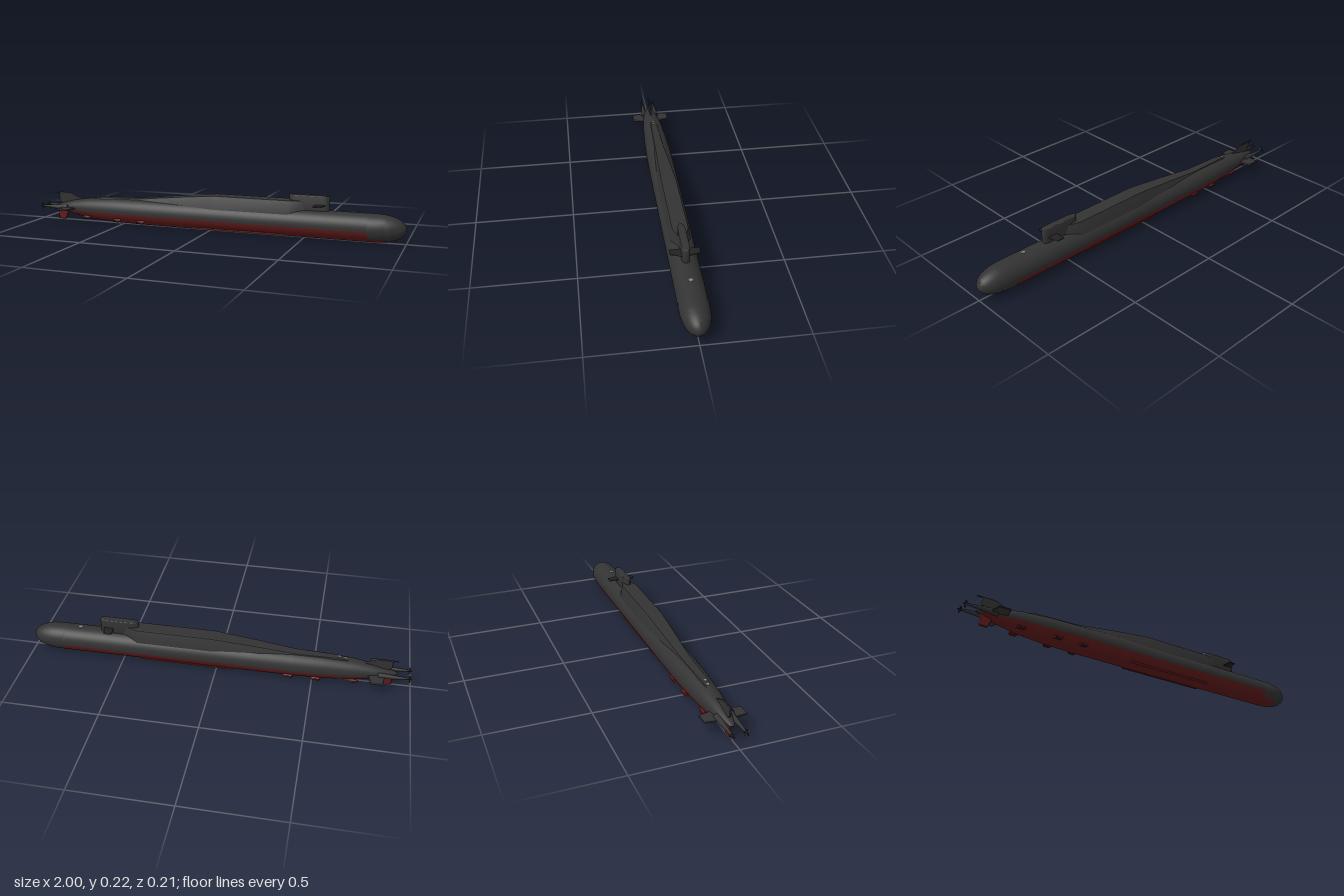
import * as THREE from 'three';
import { toCreasedNormals } from 'three/addons/utils/BufferGeometryUtils.js';

const mat = (name, color) => {
  const m = new THREE.MeshStandardMaterial({ color });
  m.name = name;
  return m;
};

export function createModel() {
  const model = new THREE.Group();
  model.name = 'submarine';
  const black = mat('hull charcoal', 0x333333);
  const red = mat('bottom red', 0x621b1b);
  const dark = mat('fitting black', 0x222222);
  const grey = mat('hatch grey', 0x858585);

  const add = (name, geo, material, x = 0, y = 0, z = 0, parent = model) => {
    const mesh = new THREE.Mesh(geo, material);
    mesh.name = name;
    mesh.position.set(x, y, z);
    parent.add(mesh);
    return mesh;
  };

  // Skin through a list of cross-sections with equal point counts
  const loft = (sections) => {
    const n = sections[0].length;
    const index = [];
    for (let i = 0; i < sections.length - 1; i++) {
      for (let j = 0; j < n - 1; j++) {
        const a = i * n + j, b = a + n;
        index.push(a, b, b + 1, a, b + 1, a + 1);
      }
    }
    const geo = new THREE.BufferGeometry();
    geo.setAttribute('position', new THREE.Float32BufferAttribute(sections.flat(2), 3));
    geo.setIndex(index);
    geo.computeVertexNormals();
    return geo;
  };

  // Plate from an outline: upright, or lying flat with its outline in x and z
  const plate = (points, thickness, flat = false) => {
    const shape = new THREE.Shape(points.map(([x, y]) => new THREE.Vector2(x, y)));
    const bevel = thickness * 0.3;
    const geo = new THREE.ExtrudeGeometry(shape, {
      depth: thickness - 2 * bevel, bevelThickness: bevel, bevelSize: bevel,
      bevelOffset: -bevel, bevelSegments: 1,
    });
    geo.translate(0, 0, bevel - thickness / 2);
    if (flat) geo.rotateX(-Math.PI / 2);
    return geo;
  };

  // Hull stations: x, bottom, top, half width
  const stations = [
    [-0.925, 0.074, 0.076, 0.001], [-0.92, 0.068, 0.083, 0.012], [-0.86, 0.051, 0.1, 0.032],
    [-0.8, 0.036, 0.115, 0.043], [-0.7, 0.019, 0.131, 0.055], [-0.55, 0.008, 0.141, 0.064],
    [-0.4, 0.005, 0.144, 0.069], [-0.2, 0.004, 0.145, 0.07], [0.2, 0.004, 0.145, 0.07],
    [0.6, 0.004, 0.145, 0.07], [0.815, 0.004, 0.145, 0.07], [0.825, 0.004, 0.145, 0.07],
  ];
  for (const t of [0.2, 0.38, 0.42, 0.55, 0.68, 0.79, 0.87, 0.93, 0.97, 0.99, 1]) {
    const k = Math.sqrt(Math.max(0, 1 - Math.pow(t, 2.4)));
    stations.push([0.84 + 0.16 * t, 0.0745 - 0.0705 * k, 0.0745 + 0.0705 * k, 0.07 * k]);
  }
  // The paint line steps down near the bow
  const paintLine = (x) => (x < 0.82 ? 0.062 : x < 0.905 ? 0.028 : -1);
  const arcs = (upper) => stations.map(([x, lo, hi, w]) => {
    const cy = (lo + hi) / 2, ry = Math.max((hi - lo) / 2, 1e-6);
    const a = Math.asin(THREE.MathUtils.clamp((paintLine(x) - cy) / ry, -1, 1));
    const start = upper ? a : Math.PI - a;
    const end = upper ? Math.PI - a : 2 * Math.PI + a;
    return Array.from({ length: 33 }, (_, j) => {
      const t = start + ((end - start) * j) / 32;
      return [x, cy + ry * Math.sin(t), w * Math.cos(t)];
    });
  });
  add('upperHull', loft(arcs(true)), black);
  const redArcs = arcs(false).filter((_, i) => stations[i][0] < 0.915);
  add('lowerHull', loft(redArcs), red);

  // Raised casing behind the sail: x, top, half width at top and at base
  const casing = [
    [-0.8, 0.112, 0.008, 0.014], [-0.62, 0.143, 0.018, 0.026], [-0.4, 0.147, 0.024, 0.036],
    [-0.2, 0.169, 0.032, 0.046], [0.02, 0.19, 0.04, 0.055], [0.42, 0.19, 0.04, 0.055],
    [0.5, 0.187, 0.013, 0.024], [0.505, 0.15, 0.002, 0.004],
  ].map(([x, top, ht, hb]) => {
    const base = Math.min(0.11, top - 0.02), r = Math.min(0.006, ht * 0.3);
    const half = [[base, hb], [top - r, ht], [top - r * 0.3, ht - r * 0.3], [top, ht - r]];
    return [...half.map(([y, z]) => [x, y, z]), ...half.reverse().map(([y, z]) => [x, y, -z])];
  });
  add('missileCasing', toCreasedNormals(loft(casing), 0.4), black);

  // Sail with rounded ends
  const sailShape = new THREE.Shape();
  sailShape.moveTo(0.422, 0);
  sailShape.quadraticCurveTo(0.425, 0.015, 0.48, 0.015);
  sailShape.lineTo(0.59, 0.015);
  sailShape.quadraticCurveTo(0.62, 0.015, 0.62, 0);
  sailShape.quadraticCurveTo(0.62, -0.015, 0.59, -0.015);
  sailShape.lineTo(0.48, -0.015);
  sailShape.quadraticCurveTo(0.425, -0.015, 0.422, 0);
  const sail = new THREE.ExtrudeGeometry(sailShape, {
    depth: 0.091, bevelThickness: 0.004, bevelSize: 0.004, bevelSegments: 3, curveSegments: 10,
  });
  sail.rotateX(-Math.PI / 2);
  add('sail', toCreasedNormals(sail, 0.6), black, 0, 0.124, 0);
  add('sailPlanes', plate([[0.55, -0.072], [0.59, -0.072], [0.605, -0.015], [0.605, 0.015],
    [0.59, 0.072], [0.55, 0.072]], 0.005, true), dark, 0, 0.171, 0);

  // Tail surfaces
  add('upperRudder', plate([[-0.9, 0.152], [-0.9, 0.11], [-0.87, 0.08], [-0.75, 0.1],
    [-0.755, 0.12], [-0.825, 0.152]], 0.009), black);
  add('rudderTopPod', new THREE.CylinderGeometry(0.003, 0.004, 0.09, 10).rotateZ(Math.PI / 2),
    dark, -0.88, 0.151, 0);
  add('lowerRudder', plate([[-0.905, 0.004], [-0.862, 0.003], [-0.836, 0.064], [-0.905, 0.064]],
    0.009), red);
  add('sternPlanes', plate([[-0.857, -0.104], [-0.795, -0.104], [-0.78, -0.04], [-0.78, 0.04],
    [-0.795, 0.104], [-0.857, 0.104], [-0.865, 0.04], [-0.865, -0.04]], 0.008, true),
  black, 0, 0.073, 0);

  // Matching fittings on both sides
  for (const side of [1, -1]) {
    const z = side * 0.033;
    const shaft = new THREE.CylinderGeometry(0.017, 0.005, 0.15, 16).rotateZ(-Math.PI / 2);
    add('shaftCone', shaft, black, -0.905, 0.075, z);

    const propeller = new THREE.Group();
    propeller.name = 'propeller';
    propeller.position.set(-0.989, 0.075, z);
    model.add(propeller);
    add('hub', new THREE.CylinderGeometry(0.0055, 0.003, 0.022, 12).rotateZ(-Math.PI / 2),
      dark, 0, 0, 0, propeller);
    for (let i = 0; i < 5; i++) {
      const blade = plate([[-0.002, 0.003], [0.002, 0.003], [0.005, 0.013], [0.003, 0.019],
        [-0.003, 0.019], [-0.005, 0.013]], 0.0015);
      blade.rotateY(side * 0.7);
      blade.rotateX((i * Math.PI * 2) / 5);
      add('blade', blade, dark, 0, 0, 0, propeller);
    }

    add('bilgeStrip', new THREE.BoxGeometry(0.49, 0.01, 0.009), red, 0.155, 0.0165, side * 0.041);

    // Water scoops with dark openings
    for (const [x, y, dz] of [[-0.38, 0.026, 0.056], [-0.52, 0.027, 0.055], [-0.71, 0.031, 0.043]]) {
      const scoop = new THREE.Group();
      scoop.name = 'scoop';
      scoop.position.set(x, y, side * dz);
      scoop.rotation.x = side * 0.75;
      model.add(scoop);
      add('scoopBody', plate([[-0.025, -0.008], [0.015, -0.008], [0.025, 0.008], [-0.02, 0.008]],
        0.016), red, 0, 0, 0, scoop);
      add('scoopOpening', new THREE.BoxGeometry(0.03, 0.009, 0.002), dark, -0.002, 0, side * 0.008, scoop);
    }

    // Torpedo tube rims on the bow
    for (const y of [0.1, 0.111]) {
      const k2 = ((y - 0.0745) / 0.0705) ** 2 + (0.007 / 0.07) ** 2;
      const x = 0.84 + 0.16 * Math.pow(1 - k2, 1 / 2.4);
      const rim = new THREE.TorusGeometry(0.0032, 0.0005, 6, 16).rotateY(Math.PI / 2);
      rim.rotateZ(0.75);
      add('torpedoTubeRim', rim, grey, x, y, side * 0.007);
    }
  }

  // Deck hatches
  for (const [x, y, r] of [[0.74, 0.1455, 0.01], [-0.63, 0.1425, 0.007], [-0.66, 0.1375, 0.007]]) {
    const hatch = add('deckHatch', new THREE.CylinderGeometry(r, r, 0.003, 20), grey, x, y, 0);
    if (x < 0) hatch.rotation.z = 0.17;
  }
  return model;
}
